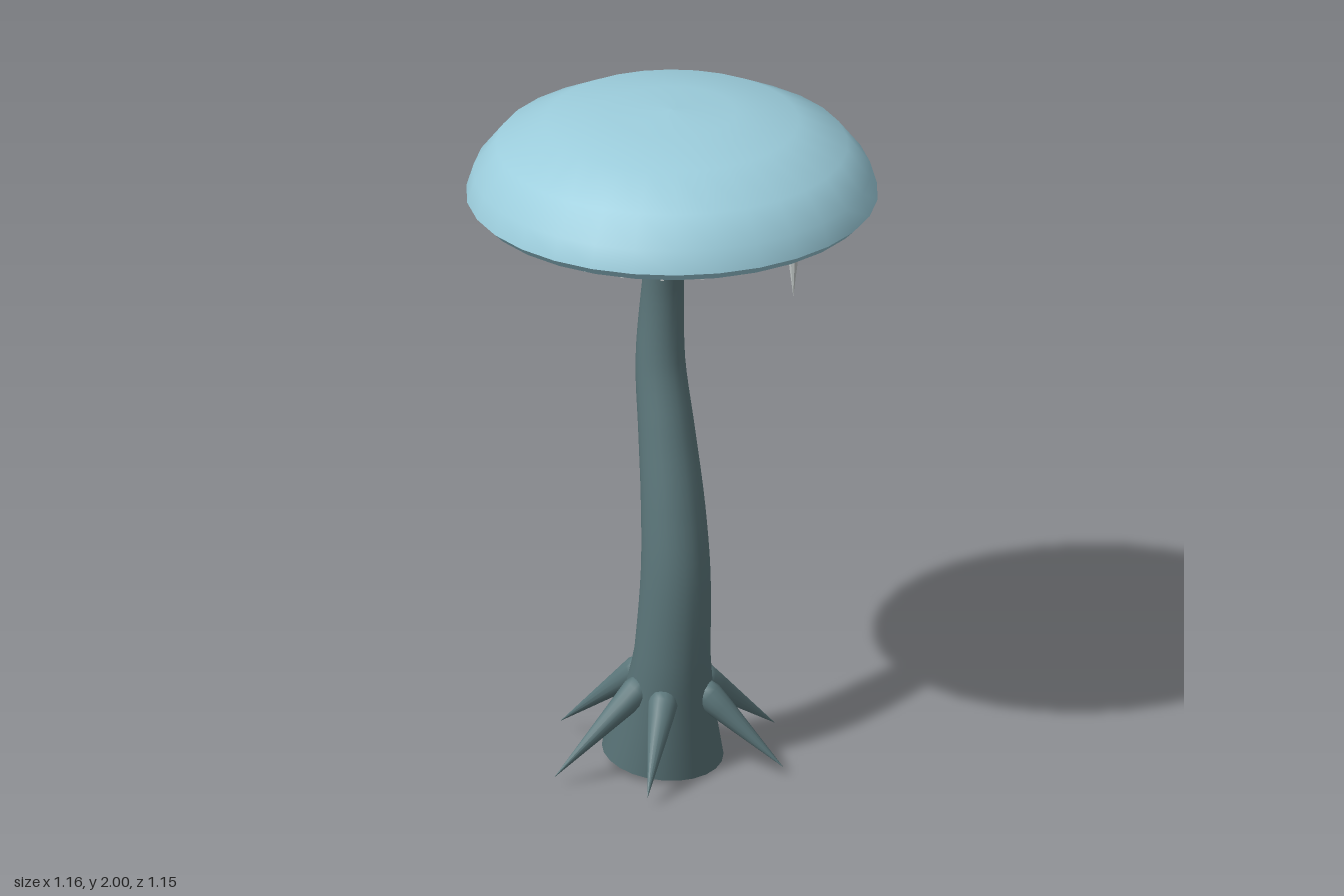
import * as THREE from 'three';

const V = (x, y, z) => new THREE.Vector3(x, y, z);
const UP = V(0, 1, 0);

function mat(name, color) {
  const m = new THREE.MeshStandardMaterial({ color });
  m.name = name;
  return m;
}

export function createModel() {
  const capBlue = mat('cap blue', 0x9ccddc);
  const stemTeal = mat('stem teal', 0x5c777b);
  const gillGrey = mat('gill grey', 0xc6cccb);

  const model = new THREE.Group();
  model.name = 'mushroom';
  const add = (parent, name, geometry, material) => {
    const mesh = new THREE.Mesh(geometry, material);
    mesh.name = name;
    parent.add(mesh);
    return mesh;
  };
  const lathe = (pts, sides) =>
    new THREE.LatheGeometry(pts.map(([r, y]) => new THREE.Vector2(r, y)), sides);

  // Cap: flat underside, narrow bevelled rim and smooth dome, 30 sides
  const cap = new THREE.Group();
  cap.name = 'cap';
  cap.rotation.y = Math.PI / 2;
  model.add(cap);
  add(cap, 'capUnderside', lathe([[0, 1.72], [0.555, 1.72]], 30), capBlue);
  add(cap, 'capRim', lathe([[0.555, 1.72], [0.58, 1.745]], 30), capBlue);
  add(cap, 'capDome', lathe([[0.58, 1.745], [0.56, 1.81], [0.495, 1.893],
    [0.357, 1.965], [0.18, 1.992], [0, 2]], 30), capBlue);

  // Gills: thin radial blades, deeper towards the middle
  const gills = new THREE.Group();
  gills.name = 'gills';
  model.add(gills);
  const blade = new THREE.BoxGeometry(1, 1, 0.01).toNonIndexed();
  const bp = blade.attributes.position;
  for (let i = 0; i < bp.count; i++) {
    const inner = bp.getX(i) < 0, top = bp.getY(i) > 0;
    bp.setX(i, inner ? 0.02 : 0.51);
    bp.setY(i, top ? 1.715 : inner ? 1.67 : 1.698);
  }
  blade.computeVertexNormals();
  const gillCount = 28;
  for (let i = 0; i < gillCount; i++) {
    add(gills, 'gill', blade, gillGrey).rotation.y = (i / gillCount) * Math.PI * 2;
  }

  // Stem: tube along a bent path, each ring scaled to [x, y, z, radius]
  const rings = [
    [-0.03, 0.03, 0, 0.172], [-0.005, 0.2, 0.012, 0.128], [0.014, 0.35, 0.024, 0.107],
    [0.027, 0.6, 0.028, 0.098], [0.008, 0.8, 0.01, 0.09], [-0.027, 1.0, -0.018, 0.08],
    [-0.062, 1.2, -0.045, 0.07], [-0.06, 1.4, -0.053, 0.061], [-0.036, 1.58, -0.032, 0.052],
    [-0.005, 1.72, -0.01, 0.046],
  ];
  const path = new THREE.CatmullRomCurve3(rings.map(([x, y, z]) => V(x, y, z)));
  const radiusAt = (y) => {
    let k = 1;
    while (k < rings.length - 1 && y > rings[k][1]) k++;
    const [a, b] = [rings[k - 1], rings[k]];
    const t = THREE.MathUtils.clamp((y - a[1]) / (b[1] - a[1]), 0, 1);
    return THREE.MathUtils.lerp(a[3], b[3], t);
  };
  const steps = 36, sides = 24;
  const tube = new THREE.TubeGeometry(path, steps, 1, sides);
  const tp = tube.attributes.position, v = V(0, 0, 0);
  for (let i = 0; i <= steps; i++) {
    const c = path.getPointAt(i / steps);
    for (let j = 0; j <= sides; j++) {
      const n = i * (sides + 1) + j;
      v.fromBufferAttribute(tp, n).sub(c).multiplyScalar(radiusAt(c.y)).add(c);
      tp.setXYZ(n, v.x, v.y, v.z);
    }
  }
  add(model, 'stem', tube, stemTeal);

  // Closed foot of the stem, square to the path
  const foot = add(model, 'stemFoot', new THREE.CircleGeometry(rings[0][3], sides), stemTeal);
  foot.position.copy(path.getPointAt(0));
  foot.quaternion.setFromUnitVectors(V(0, 0, 1), path.getTangentAt(0).negate());

  // Roots: round-ended spikes leaning out and down, given by tip [x, z] and base height
  const roots = new THREE.Group();
  roots.name = 'roots';
  model.add(roots);
  const tips = [[0.33, -0.05, 0.23], [0.1, 0.325, 0.235], [-0.2, 0.325, 0.25],
    [-0.375, -0.03, 0.265], [-0.27, -0.23, 0.25], [0.16, -0.31, 0.24]];
  for (const [x, z, y] of tips) {
    const out = V(x, 0, z).normalize().multiplyScalar(0.105);
    const base = V(out.x + 0.005, y, out.z + 0.015);
    const dir = V(x, 0.03, z).sub(base);
    const len = dir.length();
    const root = add(roots, 'root', lathe([[0, -0.035], [0.022, -0.028], [0.037, -0.012],
      [0.042, 0.01], [0.036, 0.06], [0, len]], 14), stemTeal);
    root.position.copy(base);
    root.quaternion.setFromUnitVectors(UP, dir.normalize());
  }

  // Hanging drip: small pointed spike below the cap
  const dripGeo = new THREE.ConeGeometry(0.03, 0.24, 8).toNonIndexed();
  dripGeo.computeVertexNormals();
  const drip = add(model, 'drip', dripGeo, gillGrey);
  drip.rotation.x = Math.PI;
  drip.position.set(0.257, 1.507, -0.24);

  return model;
}
